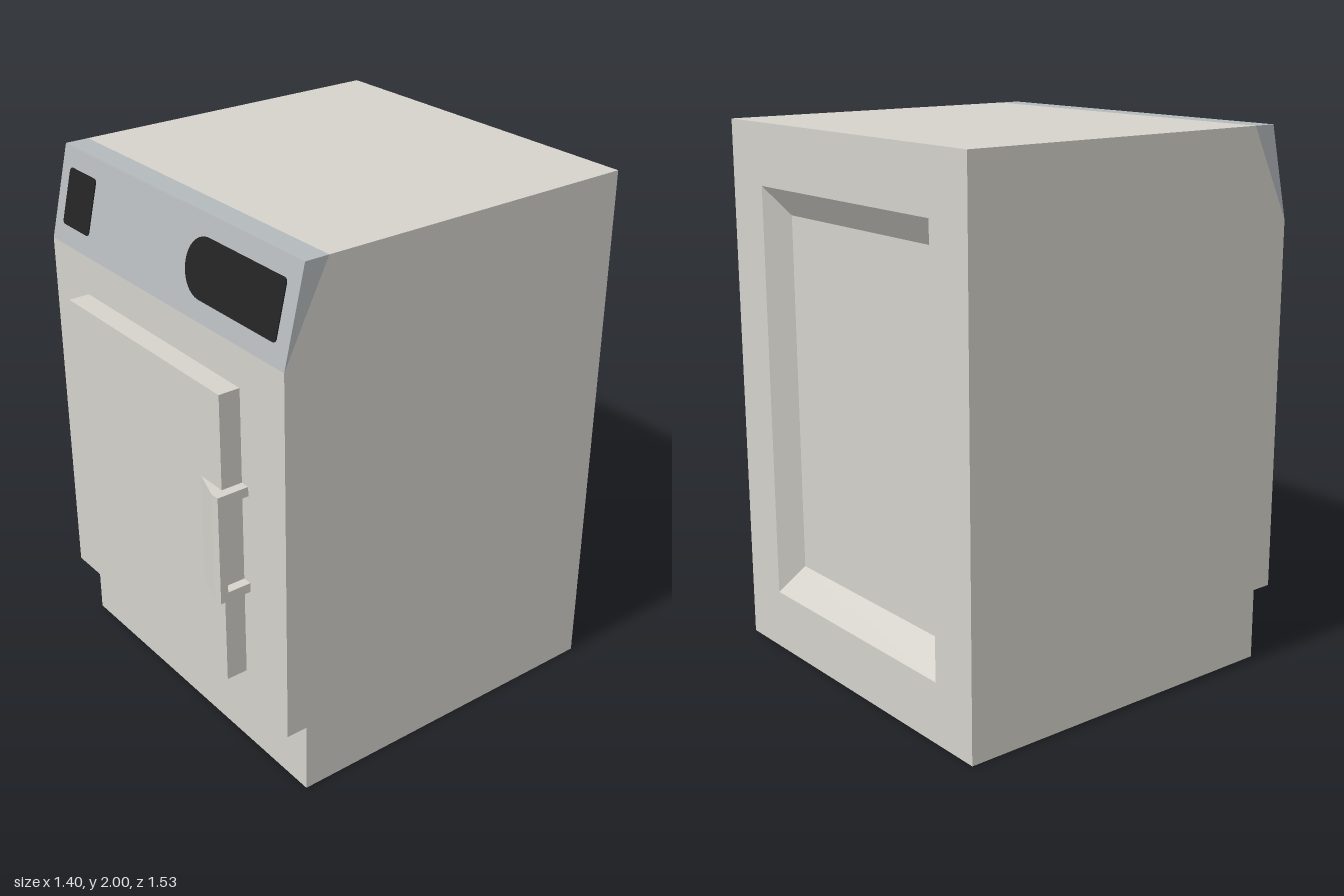
import * as THREE from 'three';

const mat = (name, color) => {
  const m = new THREE.MeshStandardMaterial({ color });
  m.name = name;
  return m;
};

const polygon = (pts) => new THREE.Shape(pts.map(([a, b]) => new THREE.Vector2(a, b)));

// Prism running across the width, from a [z, y] profile
function sidePrism(pts, width) {
  const g = new THREE.ExtrudeGeometry(polygon(pts), { depth: width, bevelEnabled: false });
  return g.translate(0, 0, -width / 2).rotateY(-Math.PI / 2);
}

// Upright prism from an [x, z] plan
function uprightPrism(plan, y0, y1) {
  const shape = polygon(plan.map(([x, z]) => [x, -z]));
  const g = new THREE.ExtrudeGeometry(shape, { depth: y1 - y0, bevelEnabled: false });
  return g.rotateX(-Math.PI / 2).translate(0, y0, 0);
}

// Flat-faced skin through rectangular rings {x, y0, y1, z}
function rectLoft(rings) {
  const pos = [];
  const corners = rings.map(({ x, y0, y1, z }) => [[-x, y0, z], [x, y0, z], [x, y1, z], [-x, y1, z]]);
  for (let r = 0; r < corners.length - 1; r++) {
    for (let i = 0; i < 4; i++) {
      const j = (i + 1) % 4;
      const a = corners[r][i], b = corners[r][j], c = corners[r + 1][j], d = corners[r + 1][i];
      pos.push(...a, ...d, ...c, ...a, ...c, ...b);
    }
  }
  const g = new THREE.BufferGeometry();
  g.setAttribute('position', new THREE.Float32BufferAttribute(pos, 3));
  g.computeVertexNormals();
  return g;
}

// Rectangle with separate corner radii on its left and right ends
function plateShape(x0, x1, y0, y1, rl, rr) {
  const s = new THREE.Shape();
  s.moveTo(x0 + rl, y0);
  s.lineTo(x1 - rr, y0);
  s.absarc(x1 - rr, y0 + rr, rr, -Math.PI / 2, 0);
  s.lineTo(x1, y1 - rr);
  s.absarc(x1 - rr, y1 - rr, rr, 0, Math.PI / 2);
  s.lineTo(x0 + rl, y1);
  s.absarc(x0 + rl, y1 - rl, rl, Math.PI / 2, Math.PI);
  s.lineTo(x0, y0 + rl);
  s.absarc(x0 + rl, y0 + rl, rl, Math.PI, Math.PI * 1.5);
  return s;
}

export function createModel() {
  const model = new THREE.Group();
  model.name = 'dryer';
  const casing = mat('casing grey', 0xd4d2cb);
  const panelGrey = mat('panel blue grey', 0xb4b9bc);
  const black = mat('display black', 0x232323);

  const add = (name, geometry, material, parent = model) => {
    const mesh = new THREE.Mesh(geometry, material);
    mesh.name = name;
    parent.add(mesh);
    return mesh;
  };

  const W = 1.405, back = -0.77, floor = -0.69, front = 0.645, step = 0.565;
  const panelBase = 1.66, panelBack = 0.475;

  // Cabinet with plinth step; its rear face is the floor of the back recess
  add('cabinet', sidePrism([
    [floor, 0], [step, 0], [step, 0.27], [front, 0.27],
    [front, panelBase], [panelBack, 2], [floor, 2],
  ], W), casing);

  // Back frame with sloping recess walls
  add('backFrame', rectLoft([
    { x: W / 2, y0: 0, y1: 2, z: floor },
    { x: W / 2, y0: 0, y1: 2, z: back },
    { x: 0.505, y0: 0.225, y1: 1.775, z: back },
    { x: 0.44, y0: 0.33, y1: 1.67, z: floor },
  ]), casing);

  // Sloping control panel
  add('controlPanel', sidePrism([[front, panelBase], [step, 2], [panelBack, 2]], W), panelGrey);

  // Thin dark plates lying on the slope
  const tilt = Math.atan2(front - step, 2 - panelBase);
  const controls = new THREE.Group();
  controls.name = 'controls';
  controls.position.set(0, panelBase, front);
  controls.rotation.x = -tilt;
  model.add(controls);
  const up = (y) => (y - panelBase) / Math.cos(tilt);
  const lo = up(1.73), hi = up(1.93);
  const thin = { depth: 0.004, bevelEnabled: false, curveSegments: 12 };
  add('buttonPlate', new THREE.ExtrudeGeometry(plateShape(-0.645, -0.47, lo, hi, 0.015, 0.015), thin), black, controls);
  add('displayPlate', new THREE.ExtrudeGeometry(plateShape(0.125, 0.64, lo, hi, (hi - lo) / 2 - 0.001, 0.015), thin), black, controls);

  // Door
  const door = new THREE.BoxGeometry(0.935, 1.105, 0.08);
  add('door', door, casing).position.set(-0.0025, 0.9625, 0.685);

  // Handle: wedge-shaped grip with a bracket at each end
  const handle = new THREE.Group();
  handle.name = 'handle';
  model.add(handle);
  const wedge = [[0.345, 0.725], [0.465, 0.765], [0.5, 0.765]];
  const grip = [...wedge, [0.5, 0.735], [0.465, 0.735], [0.465, 0.725]];
  const bracket = [...wedge, [0.5, front], [0.465, front], [0.465, 0.725]];
  add('handleGrip', uprightPrism(grip, 0.795, 1.135), casing, handle);
  for (const y of [0.76, 1.135]) add('handleBracket', uprightPrism(bracket, y, y + 0.035), casing, handle);

  return model;
}
